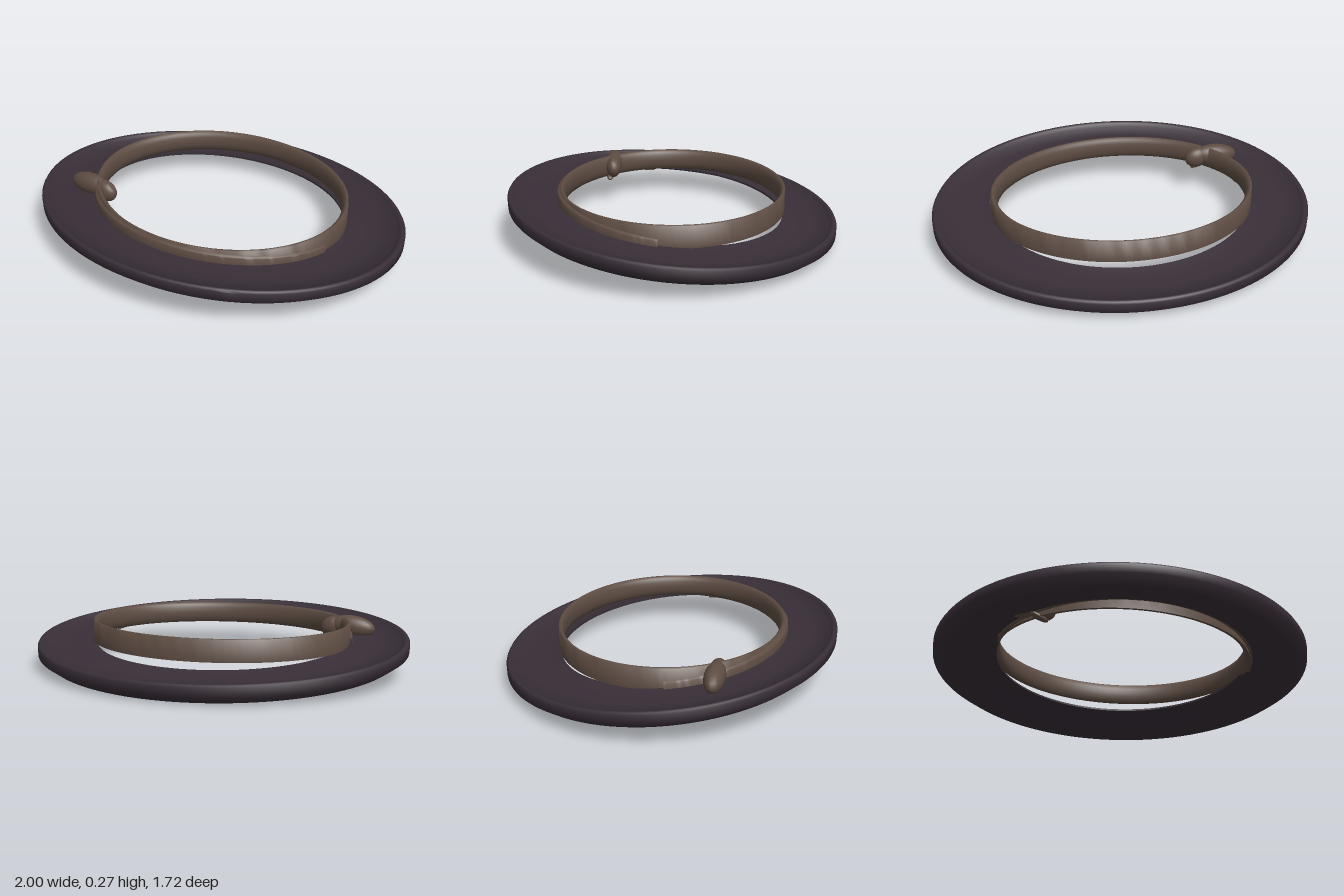
import * as THREE from 'three';
import { toCreasedNormals } from 'three/addons/utils/BufferGeometryUtils.js';

const DEPTH = 0.862; // oval ratio, z to x

// Closed profile [radius, height], counter-clockwise, swept round an oval
function ovalRing(profile, start = 0, length = Math.PI * 2, depth = DEPTH) {
  const pts = [...profile, profile[0]].map(([r, y]) => new THREE.Vector2(r, y));
  const g = new THREE.LatheGeometry(pts, 96, start, length);
  g.scale(1, 1, depth);
  return g;
}

// Raise the front, lower the back
function slope(g, base, rate) {
  const p = g.attributes.position;
  for (let i = 0; i < p.count; i++) p.setY(i, p.getY(i) + base + rate * p.getZ(i));
  return g;
}

export function createModel() {
  const model = new THREE.Group();
  const brimMat = new THREE.MeshStandardMaterial({ color: 0x382e37 });
  brimMat.name = 'dark plum felt';
  const bandMat = new THREE.MeshStandardMaterial({ color: 0x5d4c42 });
  bandMat.name = 'brown leather';

  const add = (name, geometry, material, parent = model) => {
    const mesh = new THREE.Mesh(toCreasedNormals(geometry, 1.05), material);
    mesh.name = name;
    parent.add(mesh);
    return mesh;
  };

  // Tilted brim: hollow underside rising to a thin inner edge, bevelled rim, raised lip
  add('brim', slope(ovalRing([
    [0.672, 0.074], [0.72, 0.062], [0.8, 0.036], [0.88, 0.01], [0.94, 0], [0.998, 0.04],
    [1, 0.086], [0.994, 0.096], [0.982, 0.099], [0.968, 0.093], [0.955, 0.076],
    [0.85, 0.071], [0.75, 0.072], [0.705, 0.077], [0.672, 0.084],
  ]), 0.0712, 0.088), brimMat);

  // Level band standing in the opening, rounded on its inner face
  add('band', ovalRing([
    [0.676, 0.145], [0.692, 0.145], [0.692, 0.257], [0.687, 0.26], [0.679, 0.259],
    [0.668, 0.248], [0.66, 0.228], [0.657, 0.203], [0.658, 0.18], [0.665, 0.158],
  ], 0, Math.PI * 2, 0.853), bandMat);

  // Sloping strap wrapped round the front half of the band, blending into its face
  add('frontStrap', slope(ovalRing([
    [0.68, -0.05], [0.704, -0.05], [0.704, -0.004], [0.7, 0.002], [0.68, 0.01],
  ], -1.42, 2.84), 0.176, 0.113), bandMat);

  // Knot: a long outer lobe, a short inner lobe and a small tail
  const knot = new THREE.Group();
  knot.name = 'knot';
  model.add(knot);
  const lobe = (name, x, y, z, sx, sy, sz, tilt) => {
    const mesh = add(name, new THREE.SphereGeometry(1, 20, 14).scale(sx, sy, sz), bandMat, knot);
    mesh.position.set(x, y, z);
    mesh.rotation.z = tilt;
  };
  lobe('outerLobe', -0.628, 0.209, 0.322, 0.127, 0.06, 0.052, 0.08);
  lobe('innerLobe', -0.523, 0.202, 0.325, 0.07, 0.057, 0.043, -0.2);
  lobe('tail', -0.545, 0.152, 0.345, 0.055, 0.014, 0.022, -0.4);

  return model;
}
